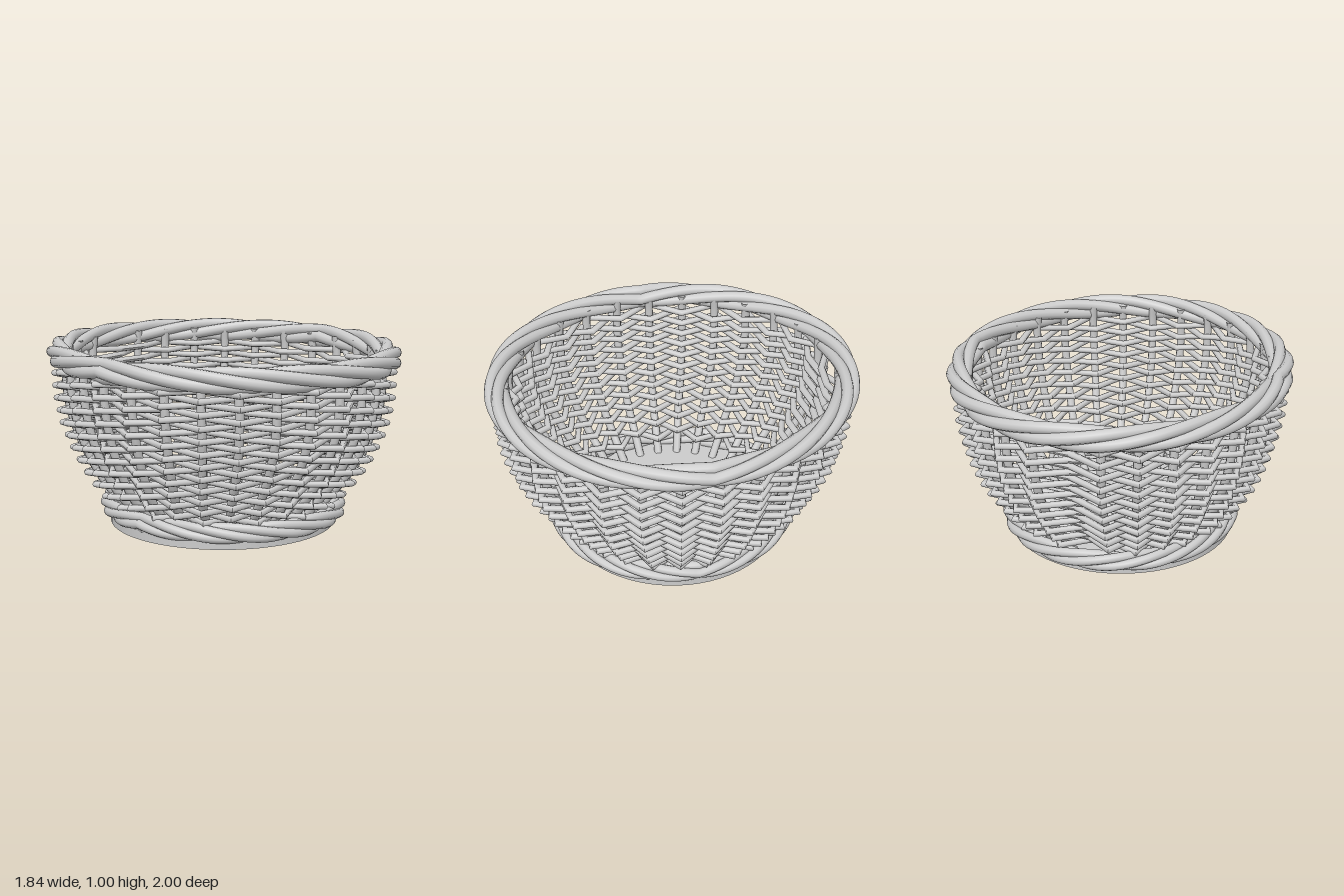
import * as THREE from 'three';
import { toCreasedNormals } from 'three/addons/utils/BufferGeometryUtils.js';

const material = new THREE.MeshStandardMaterial({ color: 0xcccccc });
const SLOTS = 29, STEP = (Math.PI * 2) / SLOTS;
const WEAVE = 0.12; // radial distance between the outer and inner bends

// Wall profile: height, half width in x, half depth in z
const PROFILE = [
  [0.04, 0.56, 0.57], [0.14, 0.63, 0.65], [0.2, 0.685, 0.7], [0.3, 0.745, 0.78], [0.4, 0.79, 0.845],
  [0.55, 0.84, 0.915], [0.7, 0.87, 0.95], [0.85, 0.88, 0.955], [0.95, 0.87, 0.945],
];
function wall(y) {
  let i = 0;
  while (i < PROFILE.length - 2 && y > PROFILE[i + 1][0]) i++;
  const [y0, a0, b0] = PROFILE[i], [y1, a1, b1] = PROFILE[i + 1], t = (y - y0) / (y1 - y0);
  return [a0 + (a1 - a0) * t, b0 + (b1 - b0) * t];
}

// Closed cane around the basket; each node is { angle, x radius, z radius, y },
// angle measured from +x towards +z, with an oval section in the radial plane
function caneLoop(nodes, radial, vertical, sides) {
  const pos = [], index = [], n = nodes.length;
  for (const { angle, a, b, y } of nodes) {
    for (let s = 0; s < sides; s++) {
      const t = (s / sides) * Math.PI * 2, d = Math.cos(t) * radial;
      pos.push(Math.cos(angle) * (a + d), y + Math.sin(t) * vertical, Math.sin(angle) * (b + d));
    }
  }
  for (let i = 0; i < n; i++) {
    for (let s = 0; s < sides; s++) {
      const j = (i + 1) % n, u = (s + 1) % sides;
      const p = i * sides + s, q = i * sides + u, r = j * sides + s, w = j * sides + u;
      index.push(p, q, r, q, w, r);
    }
  }
  const g = new THREE.BufferGeometry();
  g.setAttribute('position', new THREE.Float32BufferAttribute(pos, 3));
  g.setIndex(index);
  g.computeVertexNormals();
  return g;
}

function add(parent, geometry, name) {
  const mesh = new THREE.Mesh(geometry, material);
  mesh.name = name;
  parent.add(mesh);
  return mesh;
}

// Rope of twisted canes whose lay mirrors between the front and back halves
function rope(name, a, b, y, offset, cane, strands, turns) {
  const group = new THREE.Group();
  group.name = name;
  const count = 180;
  for (let k = 0; k < strands; k++) {
    const nodes = [];
    for (let i = 0; i < count; i++) {
      const angle = -Math.PI + (i / count) * Math.PI * 2;
      const twist = turns * Math.abs(angle) + (k / strands) * Math.PI * 2;
      const d = Math.cos(twist) * offset;
      nodes.push({ angle, a: a + d, b: b + d, y: y + Math.sin(twist) * offset });
    }
    add(group, caneLoop(nodes, cane, cane, 10), name + 'Strand');
  }
  return group;
}

export function createModel() {
  const basket = new THREE.Group();
  basket.name = 'basket';

  // Solid floor
  add(basket, new THREE.CylinderGeometry(0.622, 0.622, 0.05, 64), 'floor').position.y = 0.025;

  // Slots run around from the back centre; slot 0 carries no stake
  const slotAngle = (k) => -Math.PI / 2 + k * STEP;
  const stakes = new THREE.Group();
  stakes.name = 'stakes';
  for (let k = 1; k < SLOTS; k++) {
    const angle = slotAngle(k);
    const points = PROFILE.map(([y, a, b]) => new THREE.Vector3(
      Math.cos(angle) * (a - WEAVE / 2), y, Math.sin(angle) * (b - WEAVE / 2)));
    add(stakes, new THREE.TubeGeometry(new THREE.CatmullRomCurve3(points), 20, 0.023, 8), 'stake');
  }
  basket.add(stakes);

  // Weaving rows pass outside and inside the stakes in turn, each row opposite
  // to the one below; all dip inward at the empty slot
  const rows = new THREE.Group();
  rows.name = 'weavingRows';
  const rowCount = 22;
  for (let r = 0; r < rowCount; r++) {
    const y = 0.14 + (r / (rowCount - 1)) * 0.72;
    const [a, b] = wall(y);
    const nodes = [];
    for (let k = 0; k < SLOTS; k++) {
      const inset = k === 0 || (k + r) % 2 === 0 ? WEAVE : 0;
      nodes.push({ angle: slotAngle(k), a: a - inset, b: b - inset, y });
    }
    add(rows, toCreasedNormals(caneLoop(nodes, 0.021, 0.0175, 8), 0.9), 'weavingRow');
  }
  basket.add(rows);

  // Twisted foot and rim borders
  basket.add(rope('footBorder', 0.605, 0.645, 0.09, 0.03, 0.025, 4, 4));
  basket.add(rope('rimBorder', 0.853, 0.931, 0.931, 0.037, 0.032, 4, 4));
  return basket;
}
